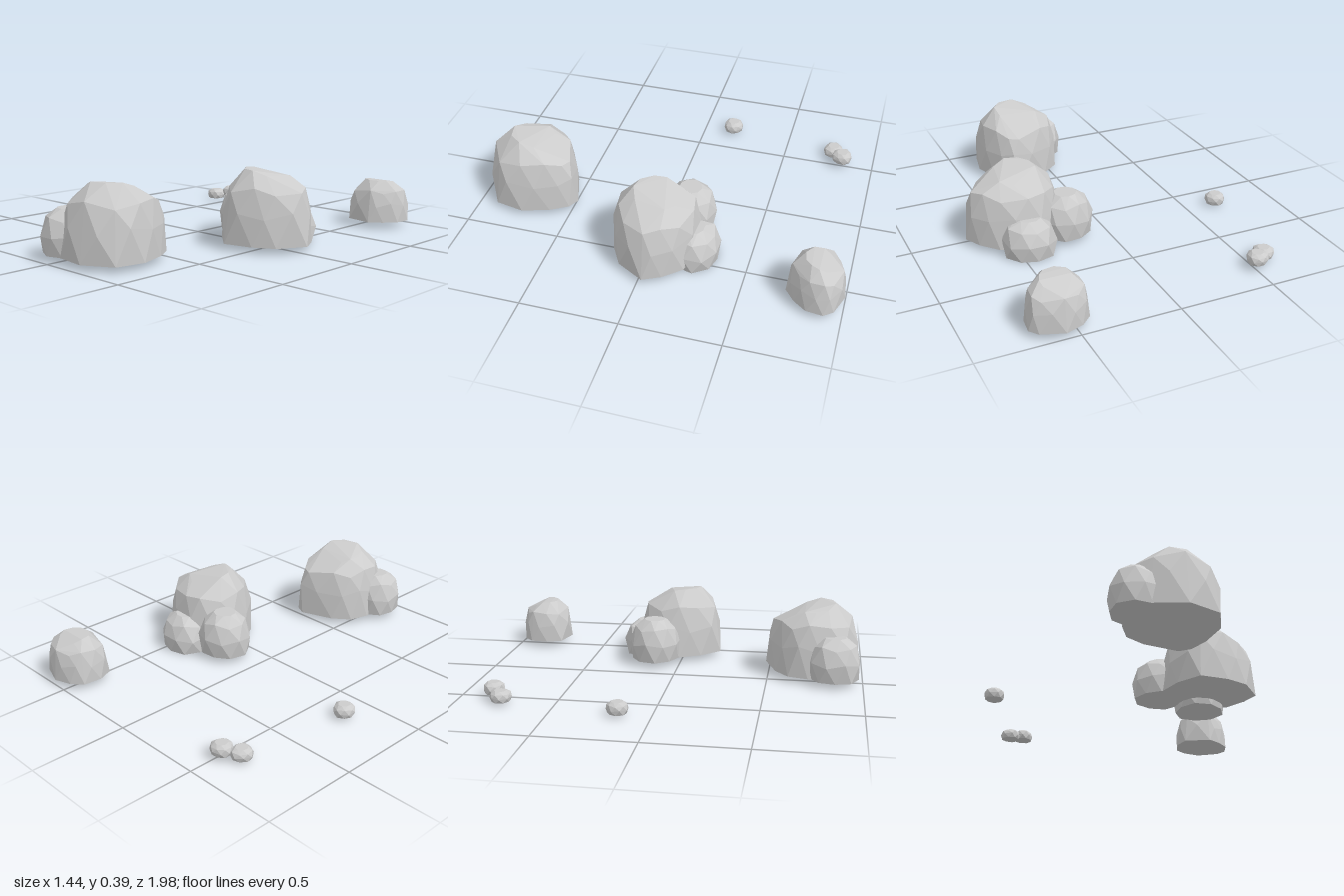
import * as THREE from 'three';
import { ConvexGeometry } from 'three/addons/geometries/ConvexGeometry.js';

const material = new THREE.MeshStandardMaterial({ color: 0xcccccc, flatShading: true });

// Rings of a rock: [share of height, share of footprint]
const BOULDER = [[0, 1], [0.42, 0.97], [0.74, 0.85], [1, 0.5]];
const STONE = [[0, 0.92], [0.42, 1], [0.8, 0.8], [1, 0.42]];
const PEBBLE = [[0, 0.86], [0.4, 1], [0.75, 0.9], [1, 0.55]];

// Slightly uneven round footprint
function roundOutline(x, z, r, n, phase) {
  return Array.from({ length: n }, (_, i) => {
    const a = (i / n) * Math.PI * 2 + phase;
    const k = r * (1 + 0.05 * Math.sin(3 * a + phase * 5));
    return [x + Math.cos(a) * k, z + Math.sin(a) * k];
  });
}

// Faceted rock: staggered, shrinking rings of a footprint, shaved by sloping cuts.
// Each cut [y, slopeX, x, slopeZ, z] caps the height along a tilted plane.
function rock(name, outline, base, top, rings, cuts = []) {
  const n = outline.length;
  const curve = new THREE.CatmullRomCurve3(outline.map(([x, z]) => new THREE.Vector3(x, 0, z)), true);
  const centre = outline.reduce((c, [x, z]) => c.add(new THREE.Vector3(x / n, 0, z / n)), new THREE.Vector3());
  const points = [];
  rings.forEach(([h, s], level) => {
    for (let i = 0; i < n; i++) {
      const p = curve.getPoint(((i + (level % 2) * 0.5) / n) % 1).sub(centre).multiplyScalar(s).add(centre);
      const wobble = h > 0 && h < 1 ? 0.05 * Math.sin(i * 2.4 + level) : 0;
      p.y = base + (top - base) * (h + wobble);
      for (const [y, sx, x, sz, z] of cuts) p.y = Math.min(p.y, y + sx * (p.x - x) + sz * (p.z - z));
      points.push(p);
    }
  });
  const mesh = new THREE.Mesh(new ConvexGeometry(points), material);
  mesh.name = name;
  return mesh;
}

export function createModel() {
  const group = new THREE.Group();
  group.name = 'rockField';

  // Front pair
  const front = [[0.23, 0.48], [0.29, 0.51], [0.345, 0.6], [0.39, 0.74], [0.36, 0.89], [0.21, 0.975],
    [0.04, 0.955], [-0.05, 0.845], [-0.065, 0.715], [-0.035, 0.61], [0.055, 0.54]];
  group.add(rock('frontBoulder', front, 0.03, 0.39, BOULDER, [[0.39, 0, 0, 0.5, 0.74], [0.39, 0.4, 0.13, 0, 0]]));
  group.add(rock('frontSideStone', roundOutline(-0.015, 0.85, 0.138, 9, 0.3), 0.03, 0.25, STONE));

  // Middle cluster
  const middle = [[0.44, -0.25], [0.595, -0.205], [0.675, -0.115], [0.72, -0.025], [0.64, 0.115], [0.535, 0.175],
    [0.385, 0.21], [0.28, 0.11], [0.22, -0.005], [0.24, -0.13], [0.33, -0.23]];
  group.add(rock('middleBoulder', middle, 0.03, 0.39, BOULDER, [[0.39, -0.5, 0.48, 0, 0], [0.39, 0, 0, 0.55, -0.04]]));
  group.add(rock('middleSideStone', roundOutline(0.215, -0.14, 0.142, 9, 0.9), 0.03, 0.25, STONE));
  group.add(rock('middleBackStone', roundOutline(0.445, -0.215, 0.142, 9, 0.5), 0, 0.19, STONE));

  // Back stone
  const back = [[0.57, -1], [0.685, -0.96], [0.72, -0.915], [0.71, -0.83], [0.66, -0.765], [0.595, -0.715],
    [0.45, -0.745], [0.415, -0.825], [0.425, -0.92], [0.48, -0.97]];
  group.add(rock('backStone', back, 0.03, 0.25, BOULDER, [[0.25, 0, 0, 0.45, -0.86]]));

  // Pebbles: x, z, base, top
  [[-0.67, -0.165, 0.012, 0.07], [-0.59, -0.77, 0.012, 0.066], [-0.517, -0.827, 0.028, 0.085]].forEach(
    ([x, z, base, top], i) => group.add(rock('pebble' + (i + 1), roundOutline(x, z, 0.056, 8, i), base, top, PEBBLE)));

  return group;
}
